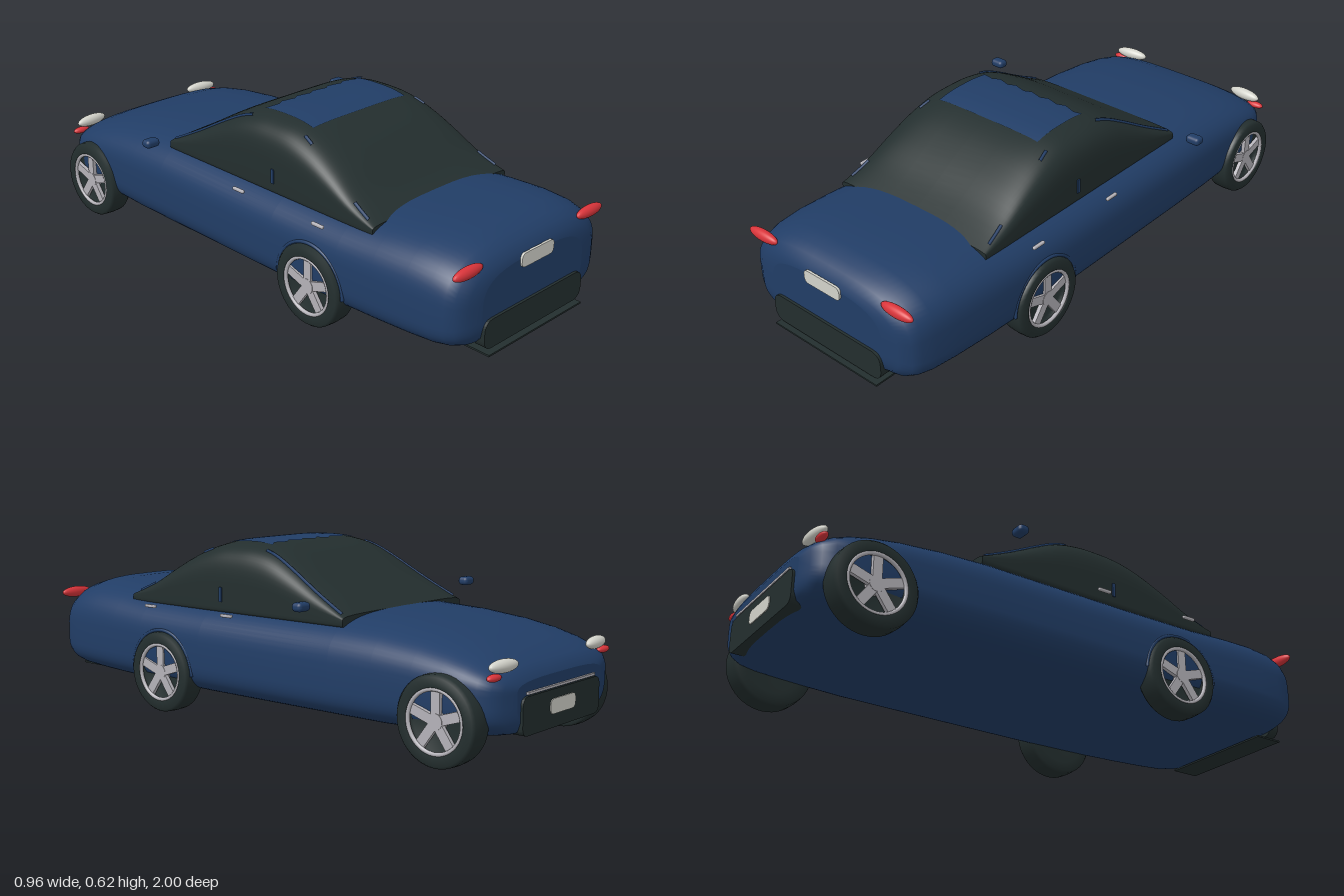
import * as THREE from 'three';
import { RoundedBoxGeometry } from 'three/addons/geometries/RoundedBoxGeometry.js';

const mat = (name, color, side = THREE.FrontSide) => {
  const m = new THREE.MeshStandardMaterial({ color, side });
  m.name = name;
  return m;
};

// Rings of superellipse cross-sections [z, halfWidth, midY, up, down], running from +z to -z
function loft(sections, nTop, nBottom, N = 72) {
  const pos = [], idx = [];
  const pw = (v, n) => Math.sign(v) * Math.pow(Math.abs(v), 2 / n);
  for (const [z, w, mid, up, down] of sections)
    for (let j = 0; j < N; j++) {
      const t = (j / N) * Math.PI * 2, s = Math.sin(t), n = s >= 0 ? nTop : nBottom;
      pos.push(w * pw(Math.cos(t), n), mid + (s >= 0 ? up : down) * pw(s, n), z);
    }
  const last = (sections.length - 1) * N;
  for (let i = 0; i < last; i += N)
    for (let j = 0; j < N; j++) {
      const a = i + j, b = i + (j + 1) % N, c = a + N, d = b + N;
      idx.push(a, c, b, b, c, d);
    }
  // end caps with their own vertices, so their edges stay crisp
  for (const [start, front] of [[0, true], [last, false]]) {
    const base = pos.length / 3, sec = sections[front ? 0 : sections.length - 1];
    for (let j = 0; j < N * 3; j++) pos.push(pos[start * 3 + j]);
    pos.push(0, sec[2], sec[0]);
    for (let j = 0; j < N; j++) {
      const k = (j + 1) % N;
      idx.push(base + N, base + (front ? j : k), base + (front ? k : j));
    }
  }
  const g = new THREE.BufferGeometry();
  g.setAttribute('position', new THREE.Float32BufferAttribute(pos, 3));
  g.setIndex(idx);
  g.computeVertexNormals();
  return g;
}

// Rounded plate facing +z
function plate(w, h, r, depth) {
  const s = new THREE.Shape(), x = w / 2, y = h / 2;
  s.moveTo(-x + r, -y).lineTo(x - r, -y).quadraticCurveTo(x, -y, x, -y + r)
    .lineTo(x, y - r).quadraticCurveTo(x, y, x - r, y)
    .lineTo(-x + r, y).quadraticCurveTo(-x, y, -x, y - r)
    .lineTo(-x, -y + r).quadraticCurveTo(-x, -y, -x + r, -y);
  return new THREE.ExtrudeGeometry(s, { depth, bevelEnabled: false, curveSegments: 8 });
}

export function createModel() {
  const paint = mat('blue paint', 0x213d66);
  const panel = mat('blue roof panel', 0x213d66, THREE.DoubleSide);
  const dark = mat('dark glass and rubber', 0x232e2e);
  const red = mat('red lens', 0xd8343a);
  const white = mat('white lens and plates', 0xd2d2ca);
  const silver = mat('silver metal', 0xb4b2b8);

  const car = new THREE.Group();
  car.name = 'car';
  const add = (name, geo, m, x = 0, y = 0, z = 0, parent = car) => {
    const o = new THREE.Mesh(geo, m);
    o.name = name;
    o.position.set(x, y, z);
    parent.add(o);
    return o;
  };

  // Body shell: z, half width, bottom, top
  const body = [
    [0.978, 0.25, 0.15, 0.35], [0.972, 0.31, 0.13, 0.375], [0.95, 0.348, 0.11, 0.4],
    [0.92, 0.362, 0.098, 0.418], [0.87, 0.373, 0.09, 0.432], [0.78, 0.381, 0.085, 0.437],
    [0.65, 0.387, 0.08, 0.43], [0.5, 0.39, 0.075, 0.417], [0.2, 0.391, 0.07, 0.412],
    [-0.38, 0.391, 0.07, 0.413], [-0.55, 0.389, 0.07, 0.405], [-0.7, 0.386, 0.075, 0.388],
    [-0.8, 0.382, 0.08, 0.368], [-0.87, 0.375, 0.083, 0.347], [-0.92, 0.362, 0.088, 0.326],
    [-0.955, 0.338, 0.095, 0.305], [-0.977, 0.305, 0.1, 0.288], [-0.989, 0.25, 0.11, 0.265],
  ].map(([z, w, lo, hi]) => [z, w, 0.23, hi - 0.23, 0.23 - lo]);
  add('body', loft(body, 3.2, 4), paint);

  // Cabin glass follows a smooth roof line of z, y
  const roofLine = new THREE.SplineCurve([
    [0.6, 0.408], [0.5, 0.46], [0.4, 0.525], [0.3, 0.578], [0.2, 0.61], [0.1, 0.617], [0.02, 0.613],
    [-0.06, 0.594], [-0.15, 0.55], [-0.25, 0.492], [-0.33, 0.447], [-0.39, 0.412],
  ].map(p => new THREE.Vector2(...p)));
  const line = roofLine.getPoints(44), cabinW = 0.326, cabinBase = 0.39, cabinN = 5;
  add('cabinGlass', loft(line.map(p => [p.x, cabinW, cabinBase, p.y - cabinBase, 0.03]), cabinN, 4), dark);
  const cabinY = (x, z) => {
    const i = Math.min(Math.max(line.findIndex(p => p.x <= z), 1), line.length - 1);
    const a = line[i - 1], b = line[i], y = a.y + (b.y - a.y) * (z - a.x) / (b.x - a.x);
    const k = Math.max(0, 1 - Math.pow(Math.abs(x) / cabinW, cabinN));
    return cabinBase + (y - cabinBase) * Math.pow(k, 1 / cabinN);
  };

  // Painted roof panel with a stepped leading edge
  const roof = new THREE.PlaneGeometry(0.44, 0.23, 18, 10).rotateX(-Math.PI / 2);
  const rp = roof.attributes.position;
  for (let i = 0; i < rp.count; i++) {
    const x = rp.getX(i), z = rp.getZ(i) + 0.118 + (i < 19 ? (i % 3) * 0.008 : 0);
    rp.setXYZ(i, x, cabinY(x, z) + 0.003, z);
  }
  roof.computeVertexNormals();
  add('roofPanel', roof, panel);

  // Wheel: outer face points to +x
  const tyreProfile = [[0, -0.04], [0.1, -0.045], [0.134, -0.043], [0.142, -0.033], [0.144, 0], [0.142, 0.033],
    [0.134, 0.043], [0.106, 0.045], [0.1, 0.04], [0.098, 0.012], [0, 0.012]].map(p => new THREE.Vector2(...p));
  const tyre = new THREE.LatheGeometry(tyreProfile, 48).rotateZ(-Math.PI / 2);
  const rim = new THREE.TorusGeometry(0.098, 0.007, 8, 48).rotateY(Math.PI / 2);
  const hub = new THREE.CylinderGeometry(0.026, 0.03, 0.03, 24).rotateZ(-Math.PI / 2);
  const makeWheel = (name, side, z) => {
    const w = new THREE.Group();
    w.name = name;
    add('tyre', tyre, dark, 0, 0, 0, w);
    add('rim', rim, silver, 0.037, 0, 0, w);
    add('hub', hub, silver, 0.023, 0, 0, w);
    for (let i = 0; i < 5; i++) {
      const spoke = new THREE.BoxGeometry(0.014, 0.084, 0.032).translate(0, 0.056, 0);
      add('spoke', spoke, silver, 0.03, 0, 0, w).rotation.x = (i / 5) * Math.PI * 2;
    }
    w.position.set(side * 0.36, 0.146, z);
    if (side < 0) w.rotation.y = Math.PI;
    car.add(w);
  };

  // Everything that is mirrored left to right
  const lens = new THREE.SphereGeometry(1, 32, 16);
  for (const s of [1, -1]) {
    makeWheel('rearWheel', s, 0.385);
    makeWheel('frontWheel', s, -0.8);

    // rear wheel arch lip
    add('rearArch', new THREE.TorusGeometry(0.148, 0.006, 8, 40, Math.PI).rotateY(Math.PI / 2),
      paint, s * 0.386, 0.146, 0.385);

    add('tailLight', lens, red, s * 0.302, 0.377, 0.956).scale.set(0.066, 0.02, 0.018);
    const head = add('headLight', lens, white, s * 0.275, 0.315, -0.955);
    head.scale.set(0.066, 0.021, 0.021);
    head.rotation.y = -s * 0.1;
    add('frontMarker', lens, red, s * 0.325, 0.286, -0.955).scale.set(0.034, 0.012, 0.015);

    add('mirror', new RoundedBoxGeometry(0.055, 0.03, 0.04, 3, 0.013), paint, s * 0.455, 0.45, -0.33);
    for (const z of [0.43, 0.057])
      add('doorHandle', new RoundedBoxGeometry(0.012, 0.011, 0.052, 2, 0.004), silver, s * 0.394, 0.377, z);

    // thin painted pillars lying on the glass
    const trim = (name, x0, z0, x1, z1) => {
      const pts = [];
      for (let i = 0; i <= 12; i++) {
        const x = x0 + (x1 - x0) * i / 12, z = z0 + (z1 - z0) * i / 12;
        pts.push(new THREE.Vector3(s * x, cabinY(x, z), z));
      }
      add(name, new THREE.TubeGeometry(new THREE.CatmullRomCurve3(pts), 24, 0.006, 6), paint);
    };
    trim('windscreenPillar', 0.308, -0.375, 0.262, -0.01);
    trim('rearPillarTop', 0.262, 0.24, 0.27, 0.28);
    trim('rearPillarFoot', 0.3, 0.5, 0.31, 0.57);
    add('doorPillar', new THREE.BoxGeometry(0.008, 0.05, 0.012), paint, s * 0.326, 0.435, 0.15);
  }

  // Rear end
  add('rearBumper', plate(0.49, 0.1, 0.04, 0.04), dark, 0, 0.15, 0.947);
  add('rearValance', new THREE.BoxGeometry(0.47, 0.006, 0.11), dark, 0, 0.087, 0.945);
  add('rearPlate', plate(0.16, 0.048, 0.02, 0.008), white, 0, 0.343, 0.977);

  // Front end
  add('frontGrille', plate(0.46, 0.12, 0.03, 0.045), dark, 0, 0.158, -0.997);
  add('grilleTrim', new THREE.BoxGeometry(0.4, 0.008, 0.012), silver, 0, 0.226, -0.991);
  add('frontPlate', plate(0.15, 0.048, 0.02, 0.006), white, 0, 0.165, -1);

  return car;
}
